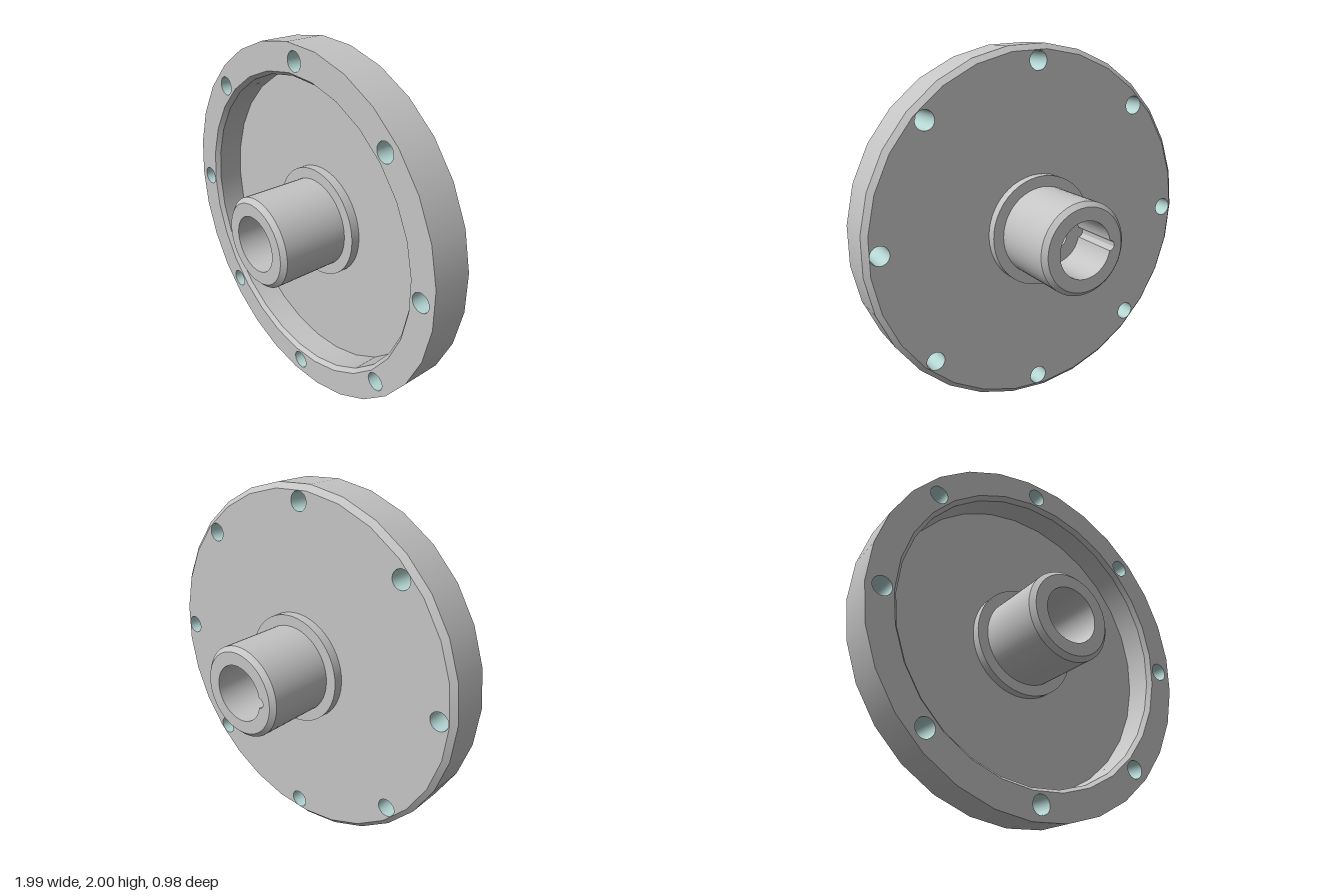
import * as THREE from 'three';
import { toCreasedNormals } from 'three/addons/utils/BufferGeometryUtils.js';

const RIM_SIDES = 29;
const HUB_SIDES = 48;
const BOLTS = 8;
const BOLT_CIRCLE = 0.912;
const BOLT_RADIUS = 0.052;
const BACK = -0.037;
const FRONT = 0.21;

// Points of a regular polygon, first corner at angle start
function ring(r, n, start = 0, cx = 0, cy = 0) {
  return Array.from({ length: n }, (_, i) => {
    const a = start + (i / n) * Math.PI * 2;
    return new THREE.Vector2(cx + r * Math.cos(a), cy + r * Math.sin(a));
  });
}

// Flat ring pierced by the bolt holes, facing +z
function piercedRing(outer, inner) {
  const shape = new THREE.Shape(outer);
  shape.holes.push(new THREE.Path(inner));
  for (let i = 0; i < BOLTS; i++) {
    const a = (i / BOLTS) * Math.PI * 2;
    shape.holes.push(new THREE.Path(
      ring(BOLT_RADIUS, 24, 0, BOLT_CIRCLE * Math.cos(a), BOLT_CIRCLE * Math.sin(a))));
  }
  return new THREE.ShapeGeometry(shape);
}

export function createModel() {
  const model = new THREE.Group();
  const wheel = new THREE.Group();
  wheel.name = 'flangedHub';
  wheel.position.y = 1;
  model.add(wheel);

  const steel = new THREE.MeshStandardMaterial({ color: 0xc4c4c4 });
  steel.name = 'grey steel';
  const holeTint = new THREE.MeshStandardMaterial({ color: 0xb4d6d3, side: THREE.DoubleSide });
  holeTint.name = 'pale teal';

  const add = (name, geometry, material = steel, parent = wheel) => {
    const mesh = new THREE.Mesh(geometry, material);
    mesh.name = name;
    parent.add(mesh);
    return mesh;
  };

  // Turned surface about z: one band per profile step keeps the edges sharp
  const turn = (name, profile, sides) => {
    const group = new THREE.Group();
    group.name = name;
    wheel.add(group);
    for (let i = 0; i + 1 < profile.length; i++) {
      const pts = [profile[i], profile[i + 1]].map(([r, z]) => new THREE.Vector2(r, z));
      const geo = new THREE.LatheGeometry(pts, sides, -Math.PI / 2);
      geo.rotateX(Math.PI / 2);
      add(name + 'Band', geo, steel, group);
    }
  };

  // Flange edge with its back chamfer
  turn('flangeEdge', [[0.97, BACK], [1, BACK + 0.027], [1, FRONT]], RIM_SIDES);

  // Front recess with chamfered lip
  turn('recess', [[0.85, FRONT], [0.83, FRONT - 0.025], [0.83, 0.04], [0.28, 0.04]], RIM_SIDES);

  // Front hub with shoulder, bore and narrow through hole
  turn('frontHub', [[0.31, 0.04], [0.31, 0.09], [0.25, 0.09], [0.25, 0.465], [0.225, 0.49],
    [0.154, 0.49], [0.154, 0.04], [0.076, 0.04], [0.076, -0.21]], HUB_SIDES);

  // Back hub with shoulder
  turn('backHub', [[0.225, -0.49], [0.25, -0.465], [0.25, -0.09], [0.31, -0.09], [0.31, BACK]], HUB_SIDES);
  turn('backBoreFloor', [[0.076, -0.21], [0.2, -0.21]], HUB_SIDES);

  // Flat faces of the flange
  add('frontRimFace', piercedRing(ring(1, RIM_SIDES, Math.PI), ring(0.85, RIM_SIDES, Math.PI)))
    .position.z = FRONT;
  const backFace = add('backFace', piercedRing(ring(0.97, RIM_SIDES), ring(0.31, HUB_SIDES)));
  backFace.rotation.y = Math.PI;
  backFace.position.z = BACK;

  // Sleeve of the back bore with its round keyway on the right-hand side
  const sleeve = new THREE.Shape(ring(0.225, HUB_SIDES));
  const bore = new THREE.Path();
  bore.absarc(0, 0, 0.154, -Math.PI + 0.18, Math.PI - 0.18, false);
  bore.absarc(-0.152, 0, 0.0275, Math.PI / 2, Math.PI * 1.5, false);
  sleeve.holes.push(bore);
  const sleeveGeo = new THREE.ExtrudeGeometry(sleeve, { depth: 0.28, bevelEnabled: false, curveSegments: 32 });
  add('keyedBore', toCreasedNormals(sleeveGeo, 0.6)).position.z = -0.49;

  // Bolt hole walls
  for (let i = 0; i < BOLTS; i++) {
    const a = (i / BOLTS) * Math.PI * 2;
    const geo = new THREE.CylinderGeometry(BOLT_RADIUS, BOLT_RADIUS, FRONT - BACK, 24, 1, true);
    geo.rotateX(Math.PI / 2);
    add('boltHole', geo, holeTint)
      .position.set(BOLT_CIRCLE * Math.cos(a), BOLT_CIRCLE * Math.sin(a), (FRONT + BACK) / 2);
  }

  return model;
}
